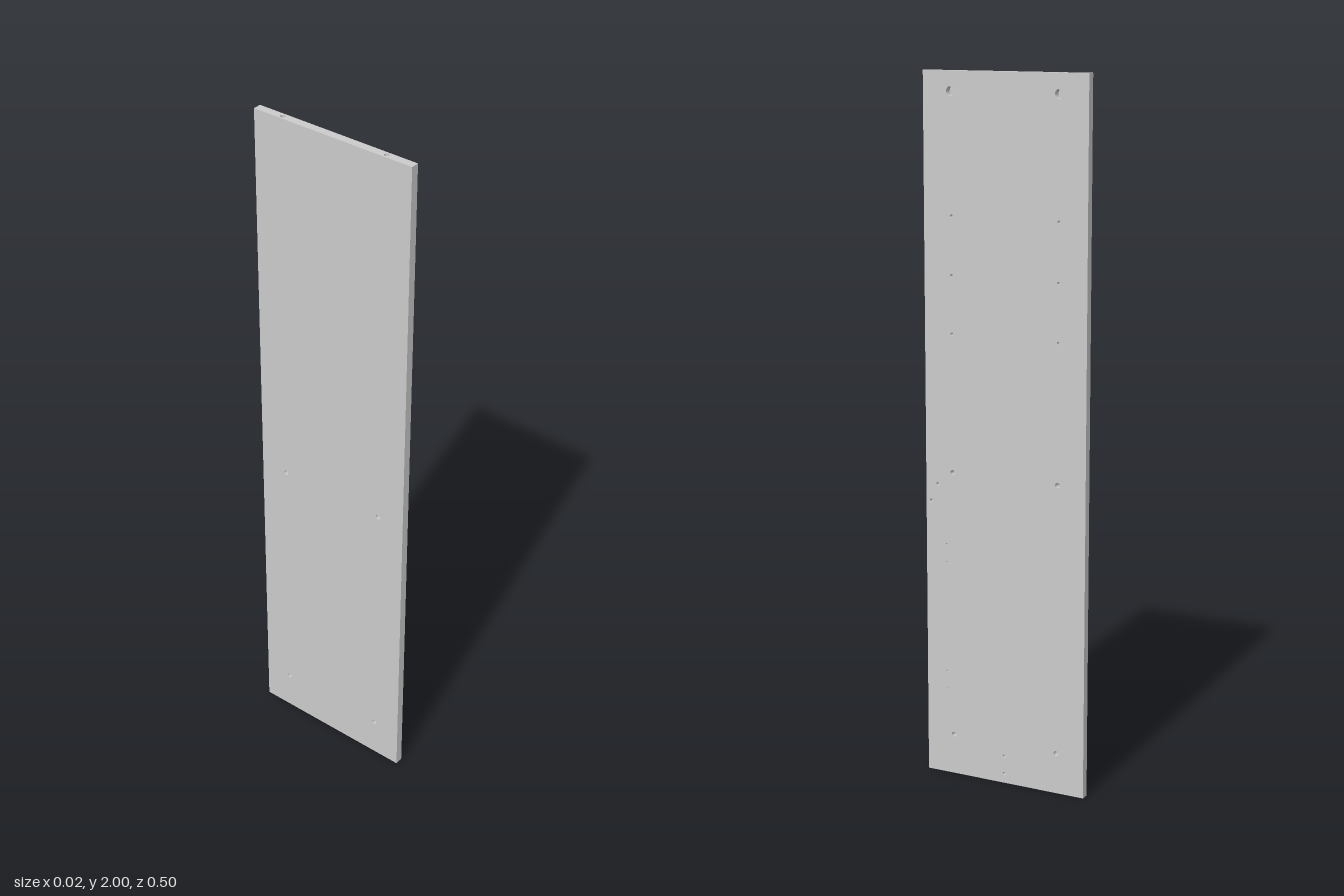
import * as THREE from 'three';

const H = 2, W = 0.496, T = 0.0236;
const material = new THREE.MeshStandardMaterial({ color: 0xcccccc, side: THREE.DoubleSide });

// Flat face (outward along local +z) with drilled holes {u, v, r, depth, through, open}
function drilledFace(name, width, height, holes) {
  const face = new THREE.Group();
  face.name = name;
  const a = width / 2, b = height / 2;
  const shape = new THREE.Shape([[-a, -b], [a, -b], [a, b], [-a, b]].map(([x, y]) => new THREE.Vector2(x, y)));
  for (const { u, v, r } of holes) shape.holes.push(new THREE.Path().absarc(u, v, r, 0, Math.PI * 2, true));
  const surface = new THREE.Mesh(new THREE.ShapeGeometry(shape, 12), material);
  surface.name = name + 'Surface';
  face.add(surface);

  for (const { u, v, r, depth, through, open } of holes) {
    if (!depth) continue;
    const wall = new THREE.Mesh(
      new THREE.CylinderGeometry(r, r, depth, 24, 1, true).rotateX(Math.PI / 2).translate(u, v, -depth / 2), material);
    wall.name = 'holeWall';
    face.add(wall);
    if (through || open) continue;
    const floor = new THREE.Mesh(new THREE.CircleGeometry(r, 24).translate(u, v, -depth), material);
    floor.name = 'holeFloor';
    face.add(floor);
  }
  return face;
}

export function createModel() {
  const model = new THREE.Group();
  model.name = 'drilledPanel';
  const hole = (z, y, r, depth, through = false) => ({ u: -z, v: y - H / 2, r, depth, through });

  // Holes on the inner side
  const holes = [];
  const throughHoles = [];
  for (const z of [0.163, -0.163]) {
    holes.push(hole(z, 1.945, 0.0134, 0.02)); // fastener pockets
    for (const y of [1.61, 1.447, 1.285]) holes.push(hole(z, y, 0.0045, 0.015)); // shelf pins
    for (const y of [0.893, 0.118]) throughHoles.push(hole(z, y, 0.0072, T, true));
  }
  for (const y of [0.683, 0.631, 0.307, 0.254]) holes.push(hole(0.184, y, 0.003, 0.012)); // hinge screws
  for (const [z, y] of [[0.211, 0.855], [0.232, 0.805], [0, 0.08], [0, 0.028]]) {
    holes.push(hole(z, y, 0.0052, 0.015));
  }

  const inner = drilledFace('innerSide', W, H, [...holes, ...throughHoles]);
  inner.rotation.y = Math.PI / 2;
  inner.position.set(T / 2, H / 2, 0);

  // Outer side carries only the through holes, mirrored
  const outer = drilledFace('outerSide', W, H, throughHoles.map(({ u, v, r }) => ({ u: -u, v, r })));
  outer.rotation.y = -Math.PI / 2;
  outer.position.set(-T / 2, H / 2, 0);

  // Top edge with bolt bores running down to the fastener pockets
  const bores = [0.163, -0.163].map((z) => ({ u: 0, v: -z, r: 0.0072, depth: 0.045, open: true }));
  const top = drilledFace('topEdge', T, W, bores);
  top.rotation.x = -Math.PI / 2;
  top.position.y = H;

  const bottom = drilledFace('bottomEdge', T, W, []);
  bottom.rotation.x = Math.PI / 2;

  const front = drilledFace('frontEdge', T, H, []);
  front.position.set(0, H / 2, W / 2);

  const back = drilledFace('backEdge', T, H, []);
  back.rotation.y = Math.PI;
  back.position.set(0, H / 2, -W / 2);

  model.add(inner, outer, top, bottom, front, back);
  return model;
}
